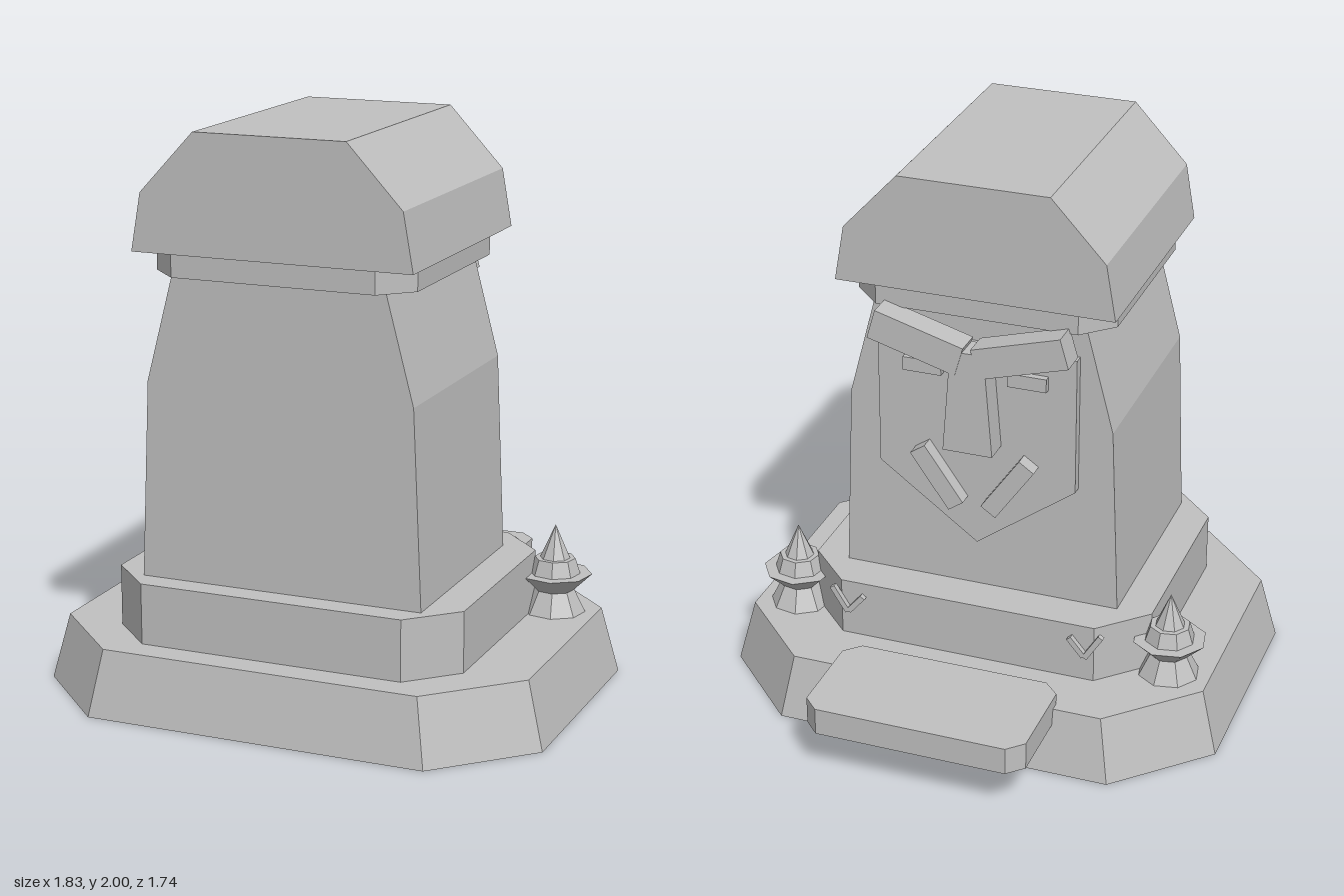
import * as THREE from 'three';

const stone = new THREE.MeshStandardMaterial({ color: 0xc0c0c0, flatShading: true, side: THREE.DoubleSide });
stone.name = 'stone grey';

function add(parent, name, geometry) {
  const mesh = new THREE.Mesh(geometry, stone);
  mesh.name = name;
  parent.add(mesh);
  return mesh;
}

// Corners of a rectangle with cut corners: half width, half depth, cut
const cutCorners = (w, d, c) => [
  [w - c, -d], [w, -d + c], [w, d - c], [w - c, d],
  [-w + c, d], [-w, d - c], [-w, -d + c], [-w + c, -d],
];

const toShape = (points) => new THREE.Shape(points.map(([x, y]) => new THREE.Vector2(x, y)));

// Slab with cut corners, lying flat between two heights and two depths
function cutSlab(w, z0, z1, c, y0, y1) {
  const shape = toShape(cutCorners(w, (z1 - z0) / 2, c));
  return new THREE.ExtrudeGeometry(shape, { depth: y1 - y0, bevelEnabled: false })
    .rotateX(-Math.PI / 2).translate(0, y0, (z0 + z1) / 2);
}

// Outline in the xy plane pushed from z0 to z1
function prism(points, z0, z1) {
  return new THREE.ExtrudeGeometry(toShape(points), { depth: z1 - z0, bevelEnabled: false })
    .translate(0, 0, z0);
}

// Sloping walls between two loops, open at the bottom
function walls(lower, upper, y0, y1, zc) {
  const pos = [];
  lower.forEach((a, i) => {
    const j = (i + 1) % lower.length;
    const p = [a[0], y0, a[1] + zc], q = [lower[j][0], y0, lower[j][1] + zc];
    const r = [upper[j][0], y1, upper[j][1] + zc], s = [upper[i][0], y1, upper[i][1] + zc];
    pos.push(...p, ...r, ...q, ...p, ...s, ...r);
  });
  const g = new THREE.BufferGeometry();
  g.setAttribute('position', new THREE.Float32BufferAttribute(pos, 3));
  g.computeVertexNormals();
  return g;
}

export function createModel() {
  const model = new THREE.Group();
  model.name = 'stoneStatue';

  // Hollow stepped base
  const zc = 0.1425;
  const top = cutCorners(0.855, 0.6775, 0.283);
  add(model, 'baseWalls', walls(cutCorners(0.915, 0.7225, 0.303), top, 0, 0.235, zc));
  add(model, 'baseTop', new THREE.ShapeGeometry(toShape(top)).rotateX(-Math.PI / 2).translate(0, 0.235, zc));
  add(model, 'plinth', cutSlab(0.635, -0.32, 0.72, 0.16, 0.235, 0.45));
  add(model, 'offeringSlab', cutSlab(0.4, -0.87, -0.445, 0.055, 0.175, 0.275));

  // Tapered body, collar and hat
  add(model, 'body', prism([
    [-0.51, 0.45], [0.51, 0.45], [0.48, 1.14], [0.383, 1.51], [-0.383, 1.51], [-0.48, 1.14],
  ], -0.17, 0.63));
  add(model, 'collar', cutSlab(0.468, -0.21, 0.675, 0.105, 1.51, 1.59));
  add(model, 'hat', prism([
    [-0.5, 1.59], [0.5, 1.59], [0.465, 1.79], [0.27, 2], [-0.27, 2], [-0.465, 1.79],
  ], -0.235, 0.69));

  // Face on the rear side
  const face = new THREE.Group();
  face.name = 'face';
  model.add(face);
  add(face, 'facePlate', prism([
    [0, 0.64], [0.36, 0.905], [0.36, 1.41], [-0.36, 1.41], [-0.36, 0.905],
  ], -0.205, -0.165));
  add(face, 'nose', prism([
    [-0.09, 1.04], [0.09, 1.04], [0.06, 1.42], [-0.06, 1.42],
  ], -0.298, -0.2));

  // Lathe profile of the corner lanterns
  const profile = [
    [0, 0.235], [0.11, 0.235], [0.07, 0.315], [0.132, 0.375], [0.09, 0.375],
    [0.072, 0.43], [0.053, 0.43], [0, 0.55],
  ].map(([r, y]) => new THREE.Vector2(r, y));

  for (const side of [1, -1]) {
    const label = side > 0 ? 'left' : 'right';
    const block = (name, w, h, d, x, y, z, turn = 0) => {
      const mesh = add(face, label + name, new THREE.BoxGeometry(w, h, d));
      mesh.position.set(side * x, y, z);
      mesh.rotation.z = side * turn;
    };
    block('Brow', 0.33, 0.11, 0.1, 0.187, 1.43, -0.25, 0.28);
    block('Eye', 0.14, 0.05, 0.03, 0.19, 1.31, -0.215);
    block('Moustache', 0.065, 0.245, 0.055, 0.13, 0.9, -0.23, -0.61);

    // Small V-shaped carving on the plinth
    block('CarvingOuter', 0.02, 0.11, 0.02, 0.475, 0.38, -0.33, -0.56);
    block('CarvingInner', 0.02, 0.085, 0.02, 0.415, 0.37, -0.33, 0.7);

    const lantern = add(model, label + 'Lantern', new THREE.LatheGeometry(profile, 8));
    lantern.position.set(side * 0.705, 0, -0.17);
    lantern.rotation.y = side * 0.2;
  }
  return model;
}
